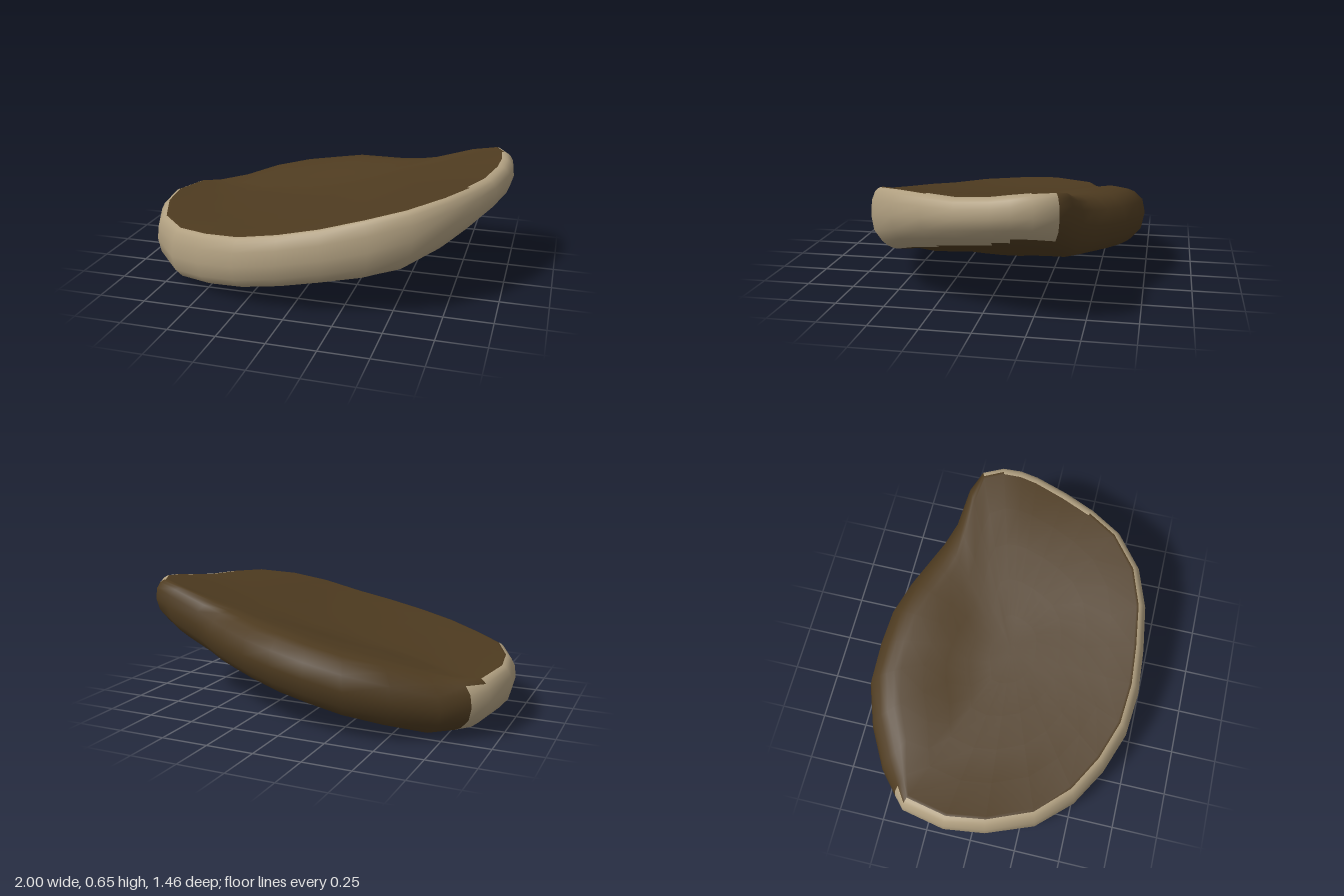
import * as THREE from 'three';

// Plan outline (x, z), running from the right end round the back to the left tip and home along the front
const outline = [
  [-1, -0.14], [-0.95, -0.38], [-0.88, -0.445], [-0.76, -0.55], [-0.55, -0.66], [-0.33, -0.73], [-0.12, -0.73],
  [0.07, -0.71], [0.25, -0.65], [0.4, -0.58], [0.52, -0.52], [0.64, -0.47], [0.83, -0.44],
  [0.94, -0.39], [0.99, -0.28], [1, -0.18], [0.99, -0.08], [0.94, 0.1], [0.87, 0.27],
  [0.77, 0.44], [0.6, 0.59], [0.4, 0.67], [0.17, 0.71], [-0.05, 0.73], [-0.28, 0.71],
  [-0.5, 0.63], [-0.7, 0.51], [-0.87, 0.33], [-0.97, 0.08],
];
// Height curves along x for the upper and lower faces
const topCurve = [[-1, 0.31], [-0.7, 0.31], [-0.2, 0.385], [0.2, 0.47], [0.45, 0.54], [0.75, 0.6], [1, 0.61]];
const bottomCurve = [[-1, 0.08], [-0.85, 0.015], [-0.7, -0.005], [0, 0.122], [0.5, 0.215], [0.75, 0.325], [1, 0.44]];

function sample(curve, x) {
  for (let i = 1; i < curve.length; i++) {
    const [x0, y0] = curve[i - 1], [x1, y1] = curve[i];
    if (x <= x1) return y0 + (y1 - y0) * (x - x0) / (x1 - x0);
  }
  return curve[curve.length - 1][1];
}
const smooth = THREE.MathUtils.smoothstep;

// Upper face: raised softly at the back and at the tip, lower at the back right corner, dished in the middle
function topY(x, z, s) {
  const back = smooth(-z, 0.15, 0.5);
  const hump = back * (0.05 * smooth(x, -0.9, -0.3) * (1 - smooth(x, 0, 0.5)) - 0.02 * (1 - smooth(x, -0.9, -0.5)));
  const tip = 0.045 * smooth(-z, -0.1, 0.3) * smooth(x, 0.6, 0.92);
  return sample(topCurve, x) + hump + tip - 0.03 * (1 - s * s);
}
// Lower face: lifts a little toward the back
const bottomY = (x, z) => sample(bottomCurve, x) + (z < 0 ? 0.025 : 0.005) * (z / 0.6) ** 2;

// Lowest and highest rim angle of the pale band at each outline step, or null where the rim is brown
function bandLimits(i) {
  if (i === 0) return [-78, 78];
  if (i === 1) return [-78, 50];
  if (i < 13) return null;
  if (i < 15) return [-50, i === 13 ? 78 : 90];
  if (i < 18) return [i === 15 ? -65 : -78, 90];
  return i < 26 ? [-90, 78] : [-78, 78];
}

export function createModel() {
  const brown = new THREE.MeshStandardMaterial({ color: 0x4e3b20 });
  brown.name = 'darkBrown';
  const tan = new THREE.MeshStandardMaterial({ color: 0xb09f80 });
  tan.name = 'paleTan';

  // Rows go from the centre of the underside, round the rim, to the centre of the top
  const inner = [0.03, 0.2, 0.4, 0.6, 0.8];
  const rows = [
    ...inner.map((k) => [-90, k]),
    ...[-90, -78, -65, -50, -25, 0, 25, 50, 65, 78, 90].map((a) => [a, 1]),
    ...[...inner].reverse().map((k) => [90, k]),
  ];
  const n = outline.length;
  const positions = [];
  for (const [deg, k] of rows) {
    const a = THREE.MathUtils.degToRad(deg);
    // Slightly squared rim section
    const lift = Math.sign(deg) * Math.abs(Math.sin(a)) ** 0.8;
    for (const [ox, oz] of outline) {
      // Wide rounding on the back, tighter along the front
      const radius = deg < 0
        ? 0.18 - 0.05 * smooth(oz, 0.2, 0.6)
        : 0.07 + 0.12 * smooth(-oz, 0.37, 0.55);
      const s = (1 - radius * (1 - Math.cos(a)) / Math.hypot(ox, oz)) * k;
      const x = ox * s, z = oz * s;
      const hi = topY(x, z, s), lo = bottomY(x, z);
      positions.push(x, (hi + lo) / 2 + (hi - lo) / 2 * lift, z);
    }
  }
  // Closing points at the two centres
  const low = positions.length / 3, high = low + 1;
  positions.push(0, bottomY(0, 0), 0, 0, topY(0, 0, 0), 0);

  // Pale band on the rim of the front and both ends; everything else is brown
  const body = [], band = [];
  const last = (rows.length - 1) * n;
  for (let i = 0; i < n; i++) {
    const j = (i + 1) % n;
    const limits = bandLimits(i);
    body.push(low, i, j, high, last + j, last + i);
    for (let r = 0; r < rows.length - 1; r++) {
      const onRim = rows[r][1] === 1 && rows[r + 1][1] === 1;
      const pale = limits && onRim && rows[r][0] >= limits[0] && rows[r + 1][0] <= limits[1];
      const a = r * n + i, b = r * n + j, c = a + n, d = b + n;
      (pale ? band : body).push(a, c, b, b, c, d);
    }
  }
  const geometry = new THREE.BufferGeometry();
  geometry.setAttribute('position', new THREE.Float32BufferAttribute(positions, 3));
  geometry.setIndex([...body, ...band]);
  geometry.addGroup(0, body.length, 0);
  geometry.addGroup(body.length, band.length, 1);
  geometry.computeBoundingBox();
  geometry.translate(0, -geometry.boundingBox.min.y, 0);
  geometry.computeVertexNormals();

  const slab = new THREE.Mesh(geometry, [brown, tan]);
  slab.name = 'roundedSlab';
  const group = new THREE.Group();
  group.name = 'curvedSlab';
  group.add(slab);
  return group;
}
